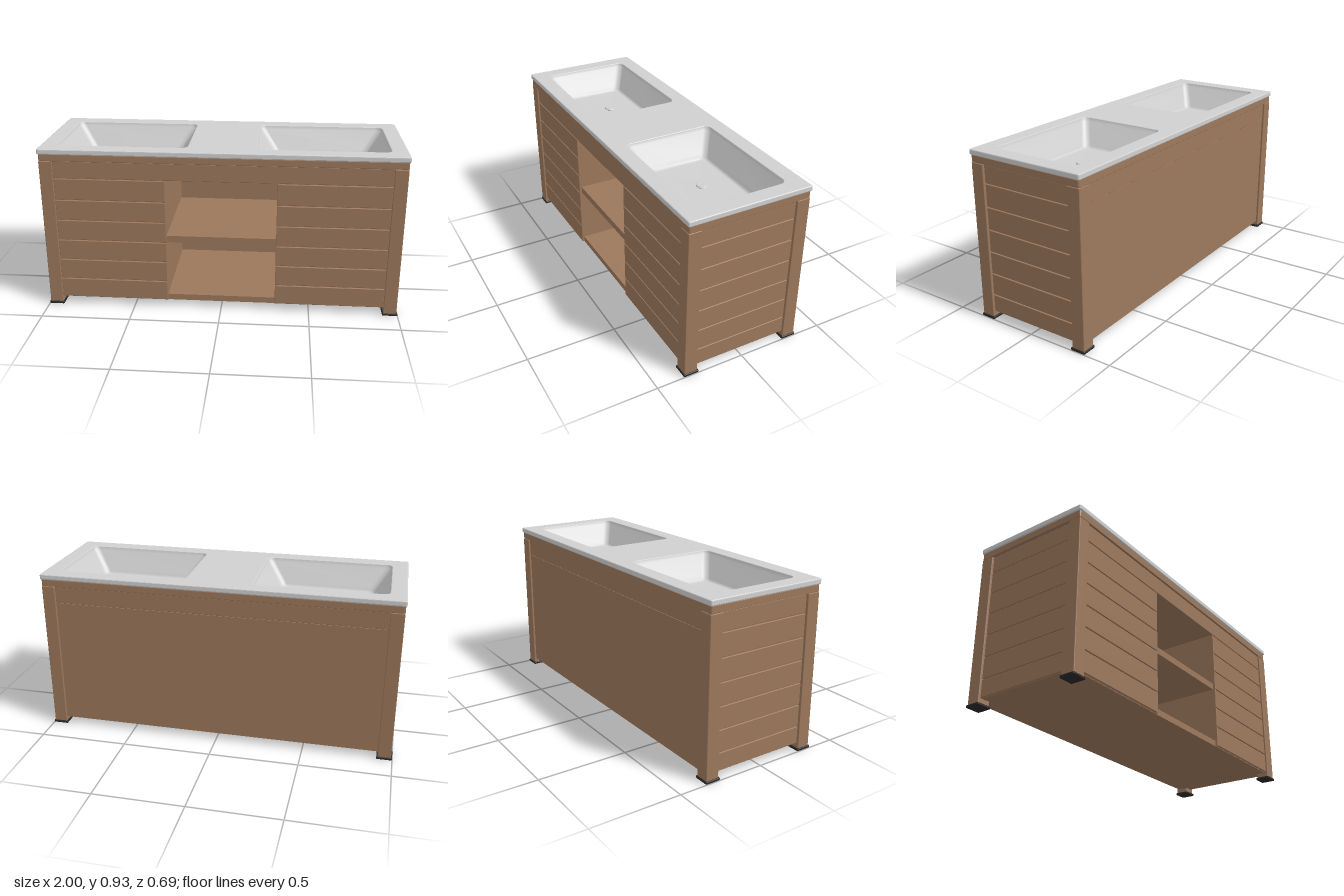
import * as THREE from 'three';
import { RoundedBoxGeometry } from 'three/addons/geometries/RoundedBoxGeometry.js';

const wood = new THREE.MeshStandardMaterial({ color: 0x9c785c });
wood.name = 'wood';
const stone = new THREE.MeshStandardMaterial({ color: 0xd0d0d0, side: THREE.DoubleSide });
stone.name = 'white stone';
const rubber = new THREE.MeshStandardMaterial({ color: 0x2a2827 });
rubber.name = 'dark rubber';

const BASIN_X = 0.55, BASIN_HX = 0.36, BASIN_HZ = 0.255;

// counter-clockwise outline of a rounded rectangle
function roundedRect(cx, hx, hz, r, n = 5) {
  const pts = [];
  [[1, 1], [-1, 1], [-1, -1], [1, -1]].forEach(([sx, sz], q) => {
    for (let i = 0; i <= n; i++) {
      const a = (q + i / n) * Math.PI / 2;
      pts.push(new THREE.Vector2(cx + sx * (hx - r) + r * Math.cos(a), sz * (hz - r) + r * Math.sin(a)));
    }
  });
  return pts;
}

// horizontal slab with two basin openings and rounded edges
function slab(hx, hz, y0, y1, grow, bevel) {
  const shape = new THREE.Shape(roundedRect(0, hx, hz, 0.008, 2));
  for (const s of [-1, 1]) {
    shape.holes.push(new THREE.Path(roundedRect(s * BASIN_X, BASIN_HX + grow, BASIN_HZ + grow, 0.035).reverse()));
  }
  const geo = new THREE.ExtrudeGeometry(shape, {
    depth: y1 - y0 - 2 * bevel, bevelEnabled: true, bevelThickness: bevel,
    bevelSize: bevel, bevelOffset: -bevel, bevelSegments: 3,
  });
  return geo.rotateX(-Math.PI / 2).translate(0, y0 + bevel, 0);
}

// sloped basin lofted through rounded rectangles and closed by a floor
function basinGeometry() {
  const rings = [[0, 0.929], [0.06, 0.913], [0.84, 0.812], [0.92, 0.798], [1, 0.789], [1.1, 0.786], [1.2, 0.785]];
  const pos = [], idx = [];
  let n = 0;
  for (const [t, y] of rings) {
    const pts = roundedRect(0, BASIN_HX - 0.092 * t, BASIN_HZ - 0.072 * t, 0.035);
    n = pts.length;
    pts.forEach((p) => pos.push(p.x, y, -p.y));
  }
  for (let r = 0; r < rings.length - 1; r++) {
    for (let i = 0; i < n; i++) {
      const a = r * n + i, b = r * n + (i + 1) % n;
      idx.push(a, b, a + n, b, b + n, a + n);
    }
  }
  const centre = pos.length / 3, last = (rings.length - 1) * n;
  pos.push(0, 0.785, 0);
  for (let i = 0; i < n; i++) idx.push(last + i, last + (i + 1) % n, centre);
  const geo = new THREE.BufferGeometry();
  geo.setAttribute('position', new THREE.Float32BufferAttribute(pos, 3));
  geo.setIndex(idx);
  geo.computeVertexNormals();
  return geo;
}

export function createModel() {
  const model = new THREE.Group();
  model.name = 'doubleVanity';

  const add = (name, geo, mat) => {
    const mesh = new THREE.Mesh(geo, mat);
    mesh.name = name;
    model.add(mesh);
    return mesh;
  };
  // box given by its limits on each axis, with optional softened edges
  const box = (name, [x0, x1], [y0, y1], [z0, z1], r = 0, mat = wood) => {
    const size = [x1 - x0, y1 - y0, z1 - z0];
    const geo = r ? new RoundedBoxGeometry(...size, 2, r) : new THREE.BoxGeometry(...size);
    return add(name, geo.translate((x0 + x1) / 2, (y0 + y1) / 2, (z0 + z1) / 2), mat);
  };
  // interval mirrored for the negative side
  const side = (s, a, b) => (s > 0 ? [a, b] : [-b, -a]);

  // countertop and the wooden frame below it
  add('countertop', slab(1, 0.347, 0.904, 0.934, 0, 0.006), stone);
  add('topFrame', slab(0.994, 0.341, 0.865, 0.904, 0.004, 0.003), wood);

  // basins with drain stoppers
  for (const s of [-1, 1]) {
    add('basin', basinGeometry(), stone).position.x = s * BASIN_X;
    add('drainStem', new THREE.CylinderGeometry(0.014, 0.014, 0.016, 20), stone).position.set(s * BASIN_X, 0.791, 0);
    add('drainCap', new THREE.CylinderGeometry(0.026, 0.03, 0.007, 28), stone).position.set(s * BASIN_X, 0.802, 0);
  }

  // corner legs and feet
  for (const sx of [-1, 1]) {
    for (const sz of [-1, 1]) {
      box('leg', side(sx, 0.92, 0.994), [0.012, 0.864], side(sz, 0.268, 0.342), 0.004);
      box('foot', side(sx, 0.914, 1), [0, 0.015], side(sz, 0.261, 0.347), 0.005, rubber);
    }
  }

  const gap = 0.0025;
  const frontLevels = [0.042, 0.16, 0.28, 0.4, 0.52, 0.64, 0.765];
  const sideLevels = [0.04, 0.141, 0.264, 0.388, 0.512, 0.636, 0.762, 0.864];
  for (const s of [-1, 1]) {
    // slatted fronts beside the open middle
    for (let i = 0; i < frontLevels.length - 1; i++) {
      box('frontSlat', side(s, 0.306, 0.92), [frontLevels[i] + gap, frontLevels[i + 1] - gap], [0.31, 0.332], 0.003);
    }
    box('frontBacking', side(s, 0.306, 0.92), [0.042, 0.765], [0.3, 0.322]);
    box('divider', side(s, 0.306, 0.325), [0.042, 0.78], [-0.315, 0.328]);
    // slatted ends
    for (let i = 0; i < sideLevels.length - 1; i++) {
      box('sideSlat', side(s, 0.958, 0.982), [sideLevels[i] + gap, sideLevels[i + 1] - gap], [-0.268, 0.268], 0.003);
    }
    box('sideBacking', side(s, 0.945, 0.973), [0.04, 0.864], [-0.269, 0.269]);
  }

  // front rail, back rail and back panel
  box('frontRail', [-0.921, 0.921], [0.767, 0.864], [0.308, 0.332], 0.003);
  box('backRail', [-0.921, 0.921], [0.767, 0.864], [-0.332, -0.308], 0.003);
  box('backPanel', [-0.921, 0.921], [0.04, 0.765], [-0.33, -0.308]);

  // floor board, middle shelf and cubby ceiling
  box('floorBoard', [-0.95, 0.95], [0.04, 0.075], [-0.266, 0.266]);
  box('floorBack', [-0.92, 0.92], [0.04, 0.075], [-0.325, -0.266]);
  box('floorFront', [-0.92, 0.92], [0.04, 0.075], [0.266, 0.318]);
  box('middleShelf', [-0.306, 0.306], [0.4, 0.438], [-0.31, 0.318]);
  box('cubbyCeiling', [-0.306, 0.306], [0.768, 0.78], [-0.31, 0.31]);

  return model;
}
